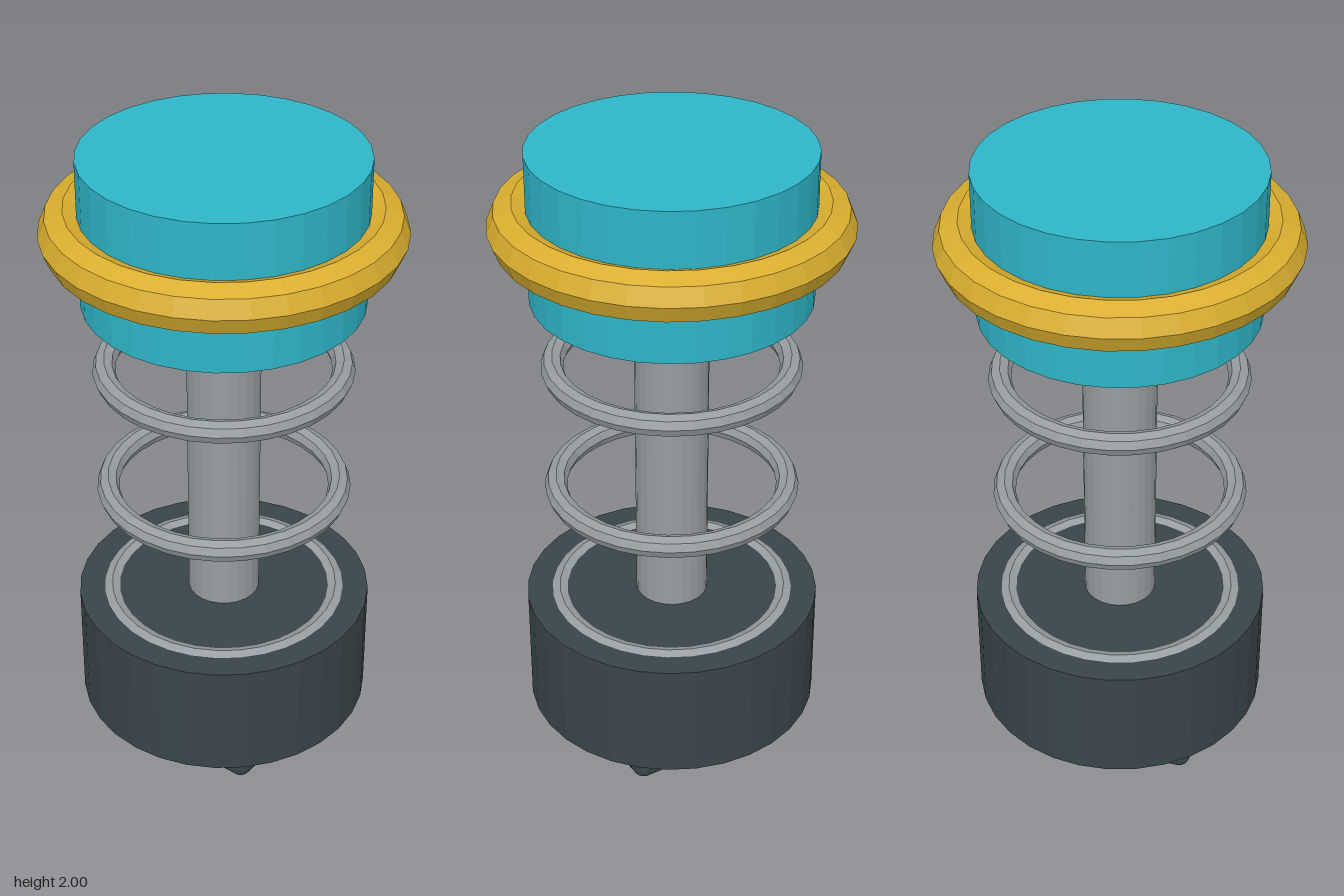
import * as THREE from 'three';
import { RoundedBoxGeometry } from 'three/addons/geometries/RoundedBoxGeometry.js';

function material(name, color) {
  const m = new THREE.MeshStandardMaterial({ color, flatShading: true });
  m.name = name;
  return m;
}

export function createModel() {
  const teal = material('teal', 0x2eb5c7);
  const gold = material('gold', 0xd9ae2f);
  const steel = material('steel', 0x969da0);
  const charcoal = material('charcoal', 0x39454a);

  const model = new THREE.Group();
  model.name = 'springPlunger';

  function add(name, geometry, mat, y) {
    const mesh = new THREE.Mesh(geometry, mat);
    mesh.name = name;
    mesh.position.y = y;
    model.add(mesh);
    return mesh;
  }

  // Upright cylinder between two heights
  const cylinder = (name, radius, y0, y1, sides, mat) =>
    add(name, new THREE.CylinderGeometry(radius, radius, y1 - y0, sides), mat, (y0 + y1) / 2);

  // Horizontal ring with an octagonal section
  const ring = (name, radius, tube, y, mat) =>
    add(name, new THREE.TorusGeometry(radius, tube, 8, 32).rotateX(Math.PI / 2), mat, y);

  // Square foot, its upper half sunk into the base
  add('foot', new RoundedBoxGeometry(0.635, 0.2, 0.635, 3, 0.035), charcoal, 0.105);

  // Base and central rod
  cylinder('base', 0.468, 0.09, 0.475, 32, charcoal);
  cylinder('rod', 0.114, 0.4, 1.6, 24, steel);

  // Spring coils, the lowest seated in the base
  for (let i = 0; i < 3; i++) ring('springCoil' + (i + 1), 0.363, 0.035, 0.45 + i * 0.425, steel);

  // Push cap and its collar
  cylinder('cap', 0.425, 1.535, 2, 32, teal);
  ring('collar', 0.465, 0.075, 1.77, gold);

  return model;
}
